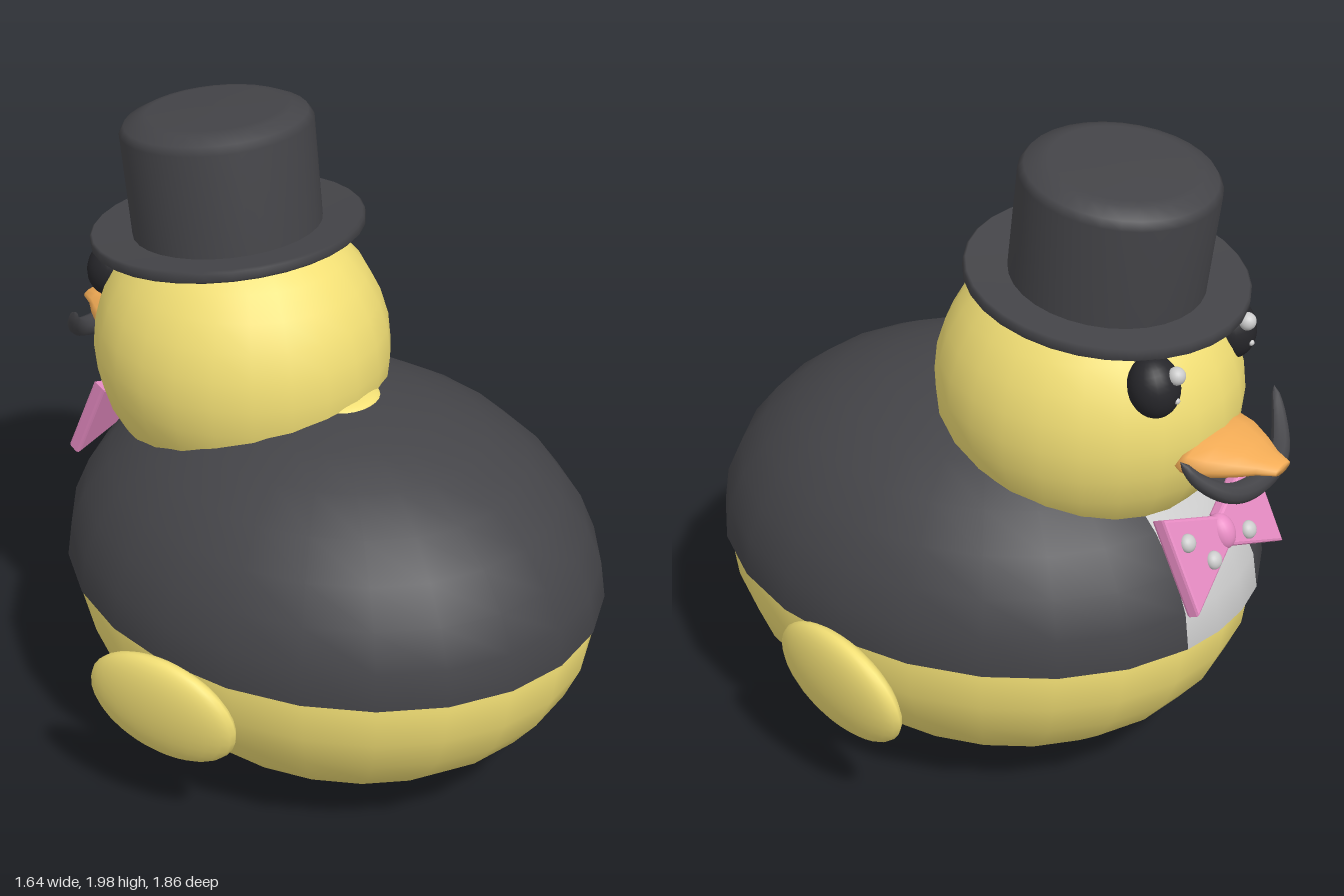
import * as THREE from 'three';

const paint = (color, side = THREE.FrontSide) => new THREE.MeshStandardMaterial({ color, side });
const yellow = paint(0xf2df75), black = paint(0x444448, THREE.DoubleSide), eyeBlack = paint(0x26262a);
const orange = paint(0xf2ab55), pink = paint(0xe88cc4), grey = paint(0xcccccc, THREE.DoubleSide);

function add(parent, name, geometry, material, position = [0, 0, 0], scale = [1, 1, 1], rotation = [0, 0, 0]) {
  const mesh = new THREE.Mesh(geometry, material);
  mesh.name = name;
  mesh.position.set(...position);
  mesh.scale.set(...scale);
  mesh.rotation.set(...rotation);
  parent.add(mesh);
  return mesh;
}

function subgroup(parent, name, position, tilt) {
  const group = new THREE.Group();
  group.name = name;
  group.position.set(...position);
  group.rotation.x = tilt;
  parent.add(group);
  return group;
}

// Tube whose radius swells in the middle and closes at both ends
function taperedTube(curve, radius, segments = 28, sides = 10) {
  const geometry = new THREE.TubeGeometry(curve, segments, radius, sides);
  const pos = geometry.attributes.position, v = new THREE.Vector3();
  for (let i = 0; i < pos.count; i++) {
    const t = Math.floor(i / (sides + 1)) / segments;
    const centre = curve.getPointAt(t);
    v.fromBufferAttribute(pos, i).sub(centre).multiplyScalar(Math.pow(Math.sin(Math.PI * t), 0.45) || 0).add(centre);
    pos.setXYZ(i, v.x, v.y, v.z);
  }
  geometry.computeVertexNormals();
  return geometry;
}

export function createModel() {
  const model = new THREE.Group();
  model.name = 'duck';
  const ball = new THREE.SphereGeometry(1, 24, 16);

  // Body and head
  add(model, 'body', ball, yellow, [0, 0.59, 0.07], [0.715, 0.58, 0.845]);
  add(model, 'nape', ball, yellow, [0, 1.19, 0.12], [0.11, 0.025, 0.09]);
  add(model, 'head', ball, yellow, [-0.02, 1.25, -0.275], [0.43, 0.44, 0.455]);

  // Jacket: half dome, open at the front for the shirt panel
  const half = Math.PI / 12, front = Math.PI * 1.5;
  const dome = (start, length, segments) =>
    new THREE.SphereGeometry(1, segments, 8, start, length, 0, Math.PI / 2);
  const domePos = [0, 0.62, 0.065], domeScale = [0.735, 0.585, 0.865];
  add(model, 'jacket', dome(front + half, Math.PI * 2 - 2 * half, 22), black, domePos, domeScale);
  add(model, 'shirt', dome(front - half, 2 * half, 2), grey, domePos, domeScale);

  // Wings and eyes
  for (const s of [-1, 1]) {
    const side = s > 0 ? 'left' : 'right';
    add(model, side + 'Wing', ball, yellow, [s * 0.74, s > 0 ? 0.477 : 0.463, 0.062],
      [0.063, 0.185, 0.25], [0, -s * 0.17, -s * 0.15]);

    const eye = subgroup(model, side + 'Eye', [s * 0.2 - 0.005, 1.447, -0.628], 0);
    add(eye, 'eyeball', ball, eyeBlack, [0, 0, 0], [0.076, 0.09, 0.072], [0.25, 0, 0]);
    add(eye, 'highlight', ball, grey, [-s * 0.015, 0.045, -0.06], [0.026, 0.026, 0.026]);
    add(eye, 'glint', ball, grey, [-s * 0.005, -0.025, -0.071], [0.009, 0.009, 0.009]);
  }

  // Beak: flattened taper with a blunt tip
  const beakProfile = [[0, 0], [0.16, 0.01], [0.165, 0.05], [0.15, 0.1], [0.105, 0.17], [0.065, 0.22], [0.04, 0.27], [0, 0.27]];
  add(model, 'beak', new THREE.LatheGeometry(beakProfile.map(p => new THREE.Vector2(...p)), 12), orange,
    [-0.005, 1.19, -0.66], [1, 1, 0.36], [-Math.PI / 2, 0, 0]);

  // Moustache curling up at both tips
  const curl = new THREE.CatmullRomCurve3([
    [-0.25, 1.275, -0.75], [-0.215, 1.21, -0.79], [-0.13, 1.145, -0.845], [0, 1.125, -0.862],
    [0.13, 1.145, -0.845], [0.215, 1.21, -0.79], [0.25, 1.275, -0.75],
  ].map(p => new THREE.Vector3(...p)));
  add(model, 'moustache', taperedTube(curl, 0.033), black, [-0.005, 0, 0]);

  // Bow tie with dots
  const bow = subgroup(model, 'bowTie', [-0.008, 0.905, -0.738], 0.44);
  for (const s of [-1, 1]) {
    const outline = new THREE.Shape([[0.015, -0.045], [0.225, -0.14], [0.225, 0.14], [0.015, 0.045]]
      .map(([x, y]) => new THREE.Vector2(s * x, y)));
    add(bow, 'bowWing', new THREE.ExtrudeGeometry(outline,
      { depth: 0.026, bevelThickness: 0.01, bevelSize: 0.01, bevelSegments: 2 }), pink, [0, 0, -0.013]);
    for (const [x, y] of [[0.175, 0.05], [0.095, -0.045]])
      add(bow, 'dot', ball, grey, [s * x, y, -0.025], [0.027, 0.027, 0.022]);
  }
  add(bow, 'knot', ball, pink, [0, 0, -0.008], [0.04, 0.055, 0.04]);

  // Top hat, tipped forward
  const hat = subgroup(model, 'topHat', [-0.01, 1.605, -0.335], -0.117);
  const spin = points => new THREE.LatheGeometry(points.map(p => new THREE.Vector2(...p)), 32);
  add(hat, 'brim', spin([[0, -0.018], [0.395, -0.018], [0.405, -0.01], [0.405, 0.014], [0.398, 0.02], [0.28, 0.008], [0, 0.008]]), black);
  add(hat, 'crown', spin([[0.28, 0], [0.283, 0.315], [0.268, 0.338], [0.225, 0.358], [0.2, 0.362], [0, 0.364]]), black);

  return model;
}
